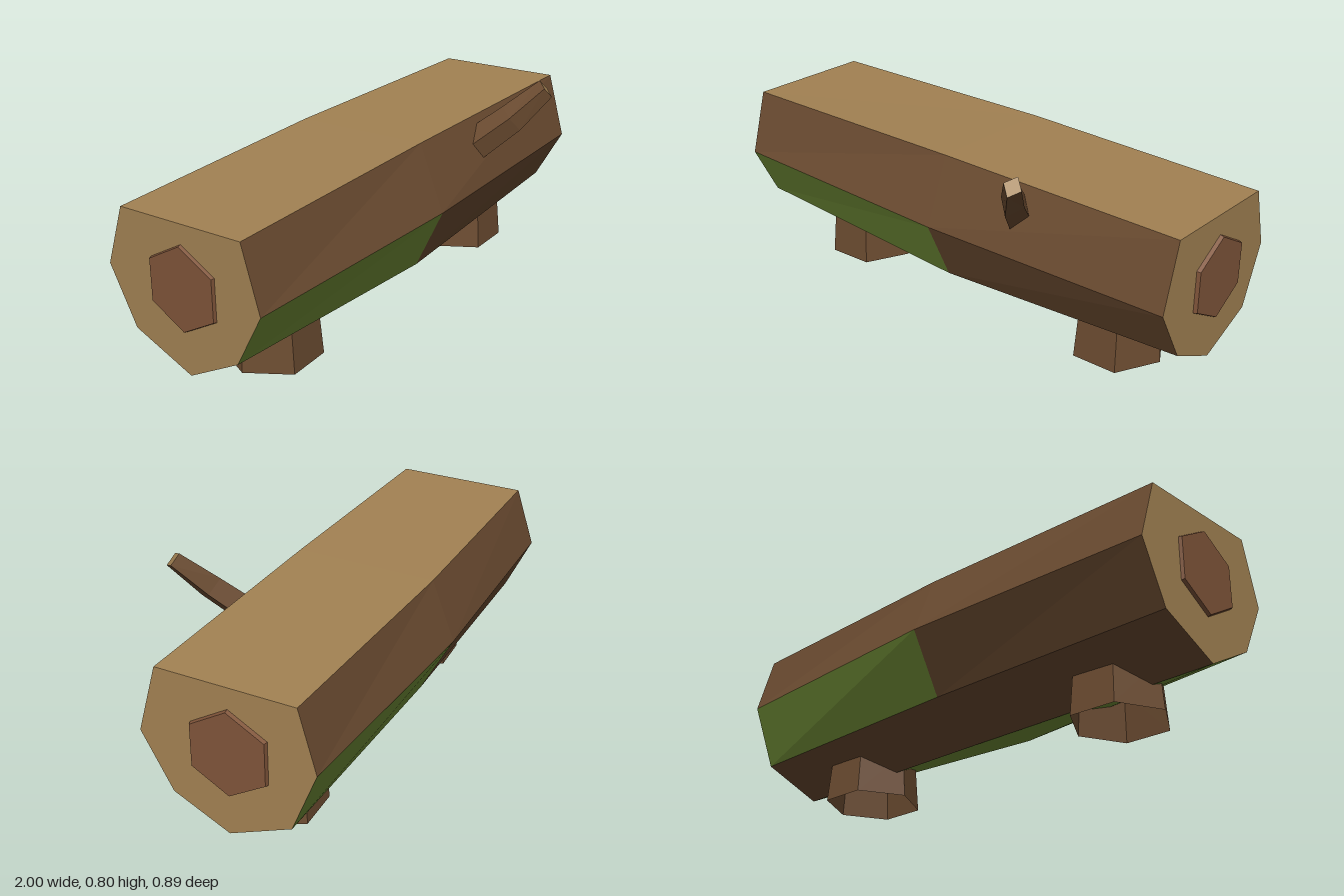
import * as THREE from 'three';

const flat = (name, color, extra = {}) => {
  const m = new THREE.MeshStandardMaterial({ color, ...extra });
  m.name = name;
  return m;
};

// Flat-sided geometry from convex polygons, each fanned into triangles
function polygons(list) {
  const pos = [];
  for (const p of list) {
    for (let i = 1; i < p.length - 1; i++) pos.push(...p[0], ...p[i], ...p[i + 1]);
  }
  const g = new THREE.BufferGeometry();
  g.setAttribute('position', new THREE.Float32BufferAttribute(pos, 3));
  g.computeVertexNormals();
  return g;
}

// One side panel between two neighbouring rings
const panel = (a, b, i) => {
  const j = (i + 1) % a.length;
  return [a[i], b[i], b[j], a[j]];
};

export function createModel() {
  const bark = flat('bark', 0x6c4c31);
  const openBark = flat('bark', 0x6c4c31, { side: THREE.DoubleSide });
  const cutWood = flat('cut wood', 0xa38253);
  const heartwood = flat('heartwood', 0x80553a);
  const moss = flat('moss', 0x728f37);

  const model = new THREE.Group();
  model.name = 'logBench';
  const add = (name, geometry, material, parent = model) => {
    const mesh = new THREE.Mesh(geometry, material);
    mesh.name = name;
    parent.add(mesh);
    return mesh;
  };

  // Log: three seven-sided rings of [z, y], from the top front edge round the back
  const ring = (x, pts) => pts.map(([z, y]) => [x, y, z]);
  const rings = [
    ring(-0.988, [[0.175, 0.645], [-0.34, 0.632], [-0.415, 0.405], [-0.31, 0.19], [-0.07, 0.085], [0.14, 0.2], [0.245, 0.403]]),
    ring(0, [[0.18, 0.656], [-0.354, 0.638], [-0.442, 0.41], [-0.32, 0.187], [-0.072, 0.09], [0.168, 0.163], [0.28, 0.403]]),
    ring(0.986, [[0.183, 0.653], [-0.322, 0.636], [-0.386, 0.41], [-0.295, 0.185], [-0.066, 0.094], [0.14, 0.198], [0.254, 0.403]]),
  ];
  const barkFaces = [], mossFaces = [], seatFaces = [];
  for (let half = 0; half < 2; half++) {
    for (let i = 0; i < 7; i++) {
      const mossy = i === 4 || (i === 5 && half === 0) || (i === 2 && half === 1);
      const target = i === 0 ? seatFaces : mossy ? mossFaces : barkFaces;
      target.push(panel(rings[half], rings[half + 1], i));
    }
  }
  const log = new THREE.Group();
  log.name = 'log';
  model.add(log);
  add('logBark', polygons(barkFaces), bark, log);
  add('mossPatches', polygons(mossFaces), moss, log);
  add('flatSeat', polygons(seatFaces), cutWood, log);
  add('cutEnds', polygons([rings[0], [...rings[2]].reverse()]), cutWood, log);

  // Raised hexagonal heartwood on each end
  for (const side of [-1, 1]) {
    const geo = new THREE.CylinderGeometry(0.155, 0.165, 0.03, 6).toNonIndexed();
    geo.rotateY(Math.PI / 2);
    geo.rotateZ(-side * Math.PI / 2);
    geo.computeVertexNormals();
    // Turn so a corner points straight up
    const box = new THREE.Box3().setFromBufferAttribute(geo.attributes.position);
    if (box.max.y < box.max.z) geo.rotateX(Math.PI / 6);
    add('heartwoodEnd', geo, heartwood).position.set(side * 0.985, 0.407, -0.078);
  }

  // Hollow six-sided feet, tucked up into the log
  for (const [x, turn] of [[-0.598, 0.045], [0.634, 0.02]]) {
    const geo = new THREE.CylinderGeometry(0.162, 0.177, 0.18, 6, 1, true).toNonIndexed();
    geo.rotateY(Math.PI / 6 + turn);
    geo.scale(1, 1, 1.05);
    geo.computeVertexNormals();
    add('foot', geo, openBark).position.set(x, 0.09, -0.047);
  }

  // Bent four-sided branch stub: centre, upward radius, sideways radius
  const stations = [
    [[0.315, 0.49, 0.14], 0.066, 0.052],
    [[0.42, 0.655, 0.317], 0.057, 0.044],
    [[0.497, 0.772, 0.417], 0.039, 0.033],
  ];
  const dir = new THREE.Vector3(0.18, 0.28, 0.28).normalize();
  const across = new THREE.Vector3(1, 0, 0).addScaledVector(dir, -dir.x).normalize();
  const up = new THREE.Vector3().crossVectors(across, dir);
  if (up.y < 0) up.negate();
  const sideways = new THREE.Vector3().crossVectors(dir, up);
  const loops = stations.map(([c, ru, rs]) => [0, 1, 2, 3].map((k) => {
    const a = -k * Math.PI / 2;
    return new THREE.Vector3(...c)
      .addScaledVector(up, ru * Math.cos(a))
      .addScaledVector(sideways, rs * Math.sin(a))
      .toArray();
  }));
  const sides = [];
  for (let s = 0; s < 2; s++) {
    for (let i = 0; i < 4; i++) sides.push(panel(loops[s], loops[s + 1], i));
  }
  const branch = new THREE.Group();
  branch.name = 'branchStub';
  model.add(branch);
  add('branchBark', polygons(sides), bark, branch);
  add('branchCut', polygons([[...loops[2]].reverse()]), cutWood, branch);

  return model;
}
